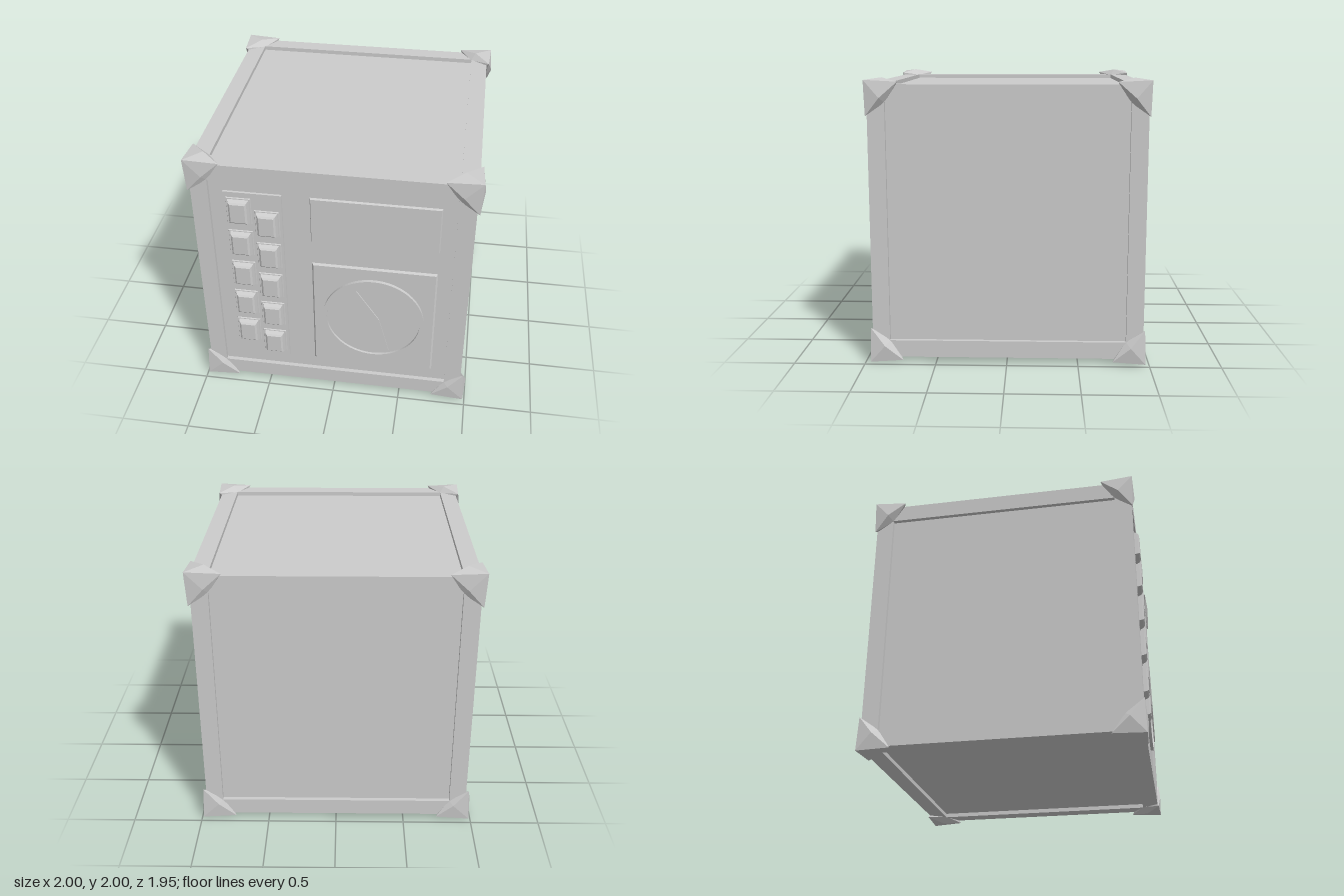
import * as THREE from 'three';

const HX = 0.957, HY = 0.957, HZ = 0.95, CY = 1, CZ = -0.006;
const BAR = 0.12, RECESS = 0.03;
const PANEL = CZ + HZ - RECESS; // front face of the recessed panel

export function createModel() {
  const model = new THREE.Group();
  const grey = new THREE.MeshStandardMaterial({ color: 0xcccccc });

  const add = (name, geometry, x = 0, y = 0, z = 0, parent = model) => {
    const mesh = new THREE.Mesh(geometry, grey);
    mesh.name = name;
    mesh.position.set(x, y, z);
    parent.add(mesh);
    return mesh;
  };

  // Plate standing on plane z0, its front face shrunk by an inset
  const plate = (name, x, y, w, h, z0, z1, inset, parent = model) => {
    const geometry = new THREE.BoxGeometry(w, h, z1 - z0).toNonIndexed();
    const p = geometry.attributes.position;
    for (let i = 0; i < p.count; i++) {
      if (p.getZ(i) > 0) {
        p.setX(i, p.getX(i) - Math.sign(p.getX(i)) * inset);
        p.setY(i, p.getY(i) - Math.sign(p.getY(i)) * inset);
      }
    }
    geometry.computeVertexNormals();
    return add(name, geometry, x, y, (z0 + z1) / 2, parent);
  };

  // Recessed panels of all six sides
  add('bodyPanels', new THREE.BoxGeometry(2 * (HX - RECESS), 2 * (HY - RECESS), 2 * (HZ - RECESS)), 0, CY, CZ);

  // Twelve frame bars
  const frame = new THREE.Group();
  frame.name = 'frame';
  model.add(frame);
  for (const a of [-1, 1]) {
    for (const b of [-1, 1]) {
      const x = HX - BAR / 2, y = HY - BAR / 2, z = HZ - BAR / 2;
      add('uprightBar', new THREE.BoxGeometry(BAR, 2 * HY, BAR), a * x, CY, CZ + b * z, frame);
      add('crossBar', new THREE.BoxGeometry(2 * (HX - BAR), BAR, BAR), 0, CY + a * y, CZ + b * z, frame);
      add('sideBar', new THREE.BoxGeometry(BAR, BAR, 2 * (HZ - BAR)), a * x, CY + b * y, CZ, frame);
    }
  }

  // Faceted corner guards, given as distances inwards from the body corner
  const guard = (sx, sy, sz) => {
    const place = (a) => new THREE.Vector3(
      sx * (HX - a[0]),
      CY + sy * (HY - a[1]),
      CZ + sz * (HZ - (a[2] < 0 ? a[2] * 0.5 : a[2])));
    const at = (axis, along, other) => {
      const a = [other, other, other];
      a[axis] = along;
      return place(a);
    };
    const core = place([0.06, 0.06, 0.06]);
    const tip = place([-0.03, -0.03, -0.03]);
    const points = [];
    const tri = (a, b, c) => {
      const n = b.clone().sub(a).cross(c.clone().sub(a));
      const out = a.clone().add(b).add(c).divideScalar(3).sub(core);
      points.push(...(n.dot(out) > 0 ? [a, b, c] : [a, c, b]));
    };
    for (let k = 0; k < 3; k++) {
      const peak = at(k, -0.043, 0.09);
      const foot = at(k, 0.004, 0.122);
      for (const e of [(k + 1) % 3, (k + 2) % 3]) {
        const end = at(e, 0.213, -0.018);
        tri(tip, end, peak);
        tri(end, foot, peak);
        tri(end, foot, at(e, 0.2, 0.005));
      }
    }
    const geometry = new THREE.BufferGeometry().setFromPoints(points);
    geometry.computeVertexNormals();
    add('cornerGuard', geometry);
  };
  for (const sx of [-1, 1]) for (const sy of [-1, 1]) for (const sz of [-1, 1]) guard(sx, sy, sz);

  // Raised boards on the front
  const BOARD = PANEL + 0.015;
  plate('buttonBoard', -0.54, 1.004, 0.405, 1.48, PANEL - 0.005, BOARD, 0.002);
  plate('display', 0.294, 1.558, 0.89, 0.37, PANEL - 0.005, BOARD, 0.009);
  plate('dialBoard', 0.294, 0.724, 0.89, 0.93, PANEL - 0.005, BOARD, 0.015);

  // Two staggered columns of buttons
  for (const [x, top] of [[-0.636, 1.595], [-0.444, 1.503]]) {
    for (let i = 0; i < 5; i++) {
      const button = new THREE.Group();
      button.name = 'button';
      model.add(button);
      const y = top - i * 0.273;
      plate('buttonFrame', x, y, 0.178, 0.216, BOARD - 0.005, BOARD + 0.008, 0.006, button);
      plate('buttonBase', x, y, 0.152, 0.196, BOARD, BOARD + 0.036, 0.013, button);
      plate('buttonTop', x, y, 0.126, 0.17, BOARD + 0.036, BOARD + 0.046, 0.012, button);
    }
  }

  // Round dial: rim, face and needle
  const DX = 0.294, DY = 0.725;
  const rim = new THREE.Shape().absarc(0, 0, 0.364, 0, Math.PI * 2);
  rim.holes.push(new THREE.Path().absarc(0, 0, 0.338, 0, Math.PI * 2, true));
  add('dialRim', new THREE.ExtrudeGeometry(rim, { depth: 0.025, bevelEnabled: false, curveSegments: 48 }), DX, DY, BOARD - 0.002);
  add('dialFace', new THREE.CircleGeometry(0.34, 48), DX, DY, BOARD + 0.006);
  const needle = new THREE.Shape([[-0.12, 0.275], [-0.042, -0.02], [0.122, -0.275], [0.045, 0.024]]
    .map(([x, y]) => new THREE.Vector2(x, y)));
  add('dialNeedle', new THREE.ExtrudeGeometry(needle, { depth: 0.009, bevelEnabled: false }), DX, DY, BOARD + 0.028);
  const hub = add('dialHub', new THREE.CylinderGeometry(0.02, 0.02, 0.03, 16), DX, DY, BOARD + 0.018);
  hub.rotation.x = Math.PI / 2;

  return model;
}
